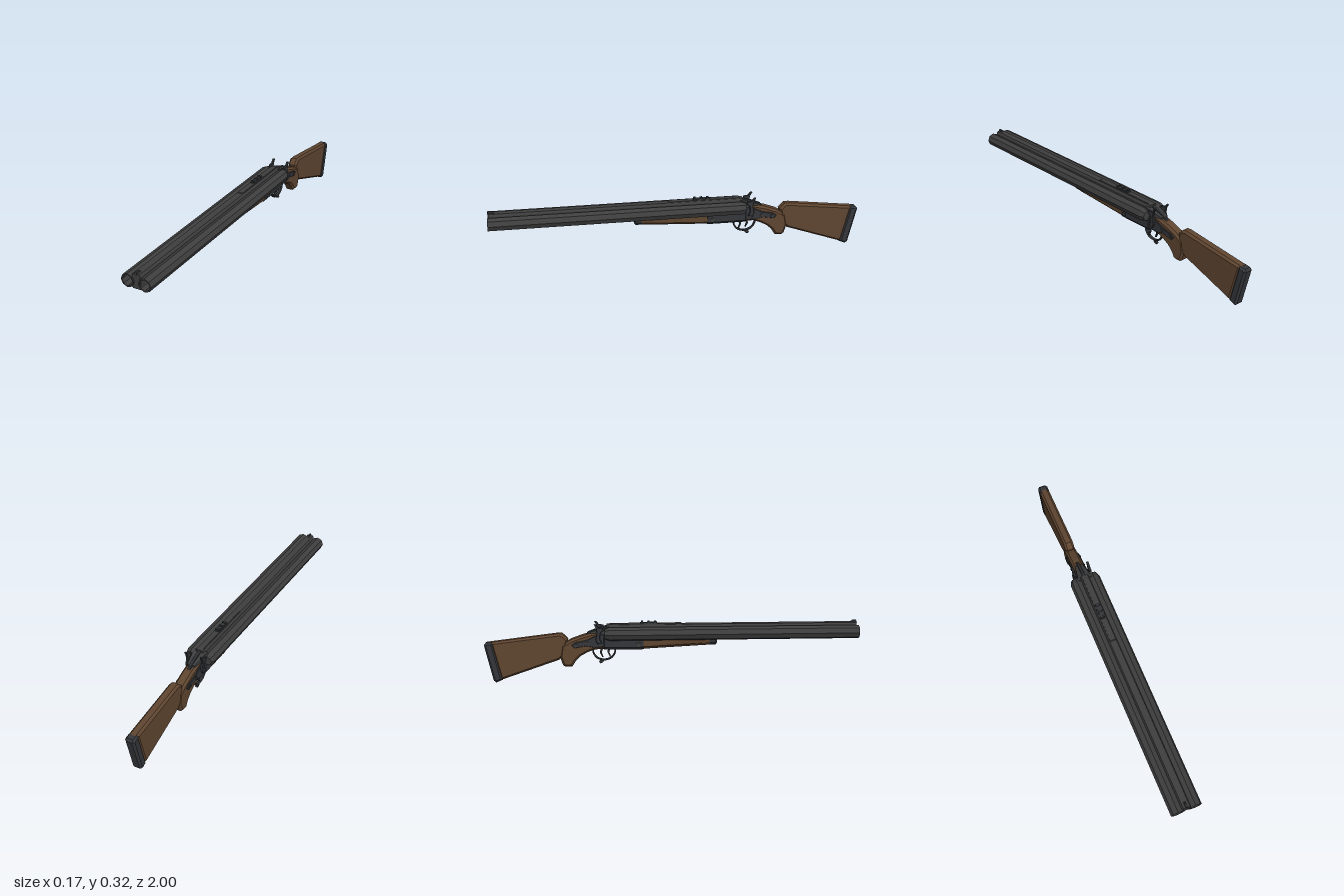
import * as THREE from 'three';

const steel = new THREE.MeshStandardMaterial({ color: 0x3e3e3e });
steel.name = 'gunmetal';
const darkSteel = new THREE.MeshStandardMaterial({ color: 0x34363a });
darkSteel.name = 'dark steel';
const wood = new THREE.MeshStandardMaterial({ color: 0x5f4530 });
wood.name = 'walnut wood';

// Gives every face its own normal for the faceted look
function facet(geometry) {
  const g = geometry.index ? geometry.toNonIndexed() : geometry;
  g.computeVertexNormals();
  return g;
}

function toShape(points) {
  const p = points.map(([a, b]) => new THREE.Vector2(a, b));
  if (THREE.ShapeUtils.isClockWise(p)) p.reverse();
  return new THREE.Shape(p);
}

function extrude(points, depth, bevel) {
  const g = new THREE.ExtrudeGeometry(toShape(points), {
    depth: depth - 2 * bevel, bevelEnabled: bevel > 0, bevelSegments: 1,
    bevelSize: bevel, bevelThickness: bevel, bevelOffset: -bevel, curveSegments: 6,
  });
  g.translate(0, 0, -depth / 2 + bevel);
  return g;
}

export function createModel() {
  const model = new THREE.Group();
  model.name = 'doubleBarrelShotgun';

  function add(name, geometry, material) {
    const mesh = new THREE.Mesh(facet(geometry), material);
    mesh.name = name;
    model.add(mesh);
    return mesh;
  }
  // Side outline in [z, y], given a width across x
  function side(name, points, width, bevel, material, x = 0) {
    const g = extrude(points, width, bevel);
    g.rotateY(-Math.PI / 2);
    g.translate(x, 0, 0);
    return add(name, g, material);
  }
  // Front outline in [x, y], running from z0 to z1
  function along(name, points, z0, z1, material, bevel = 0) {
    const g = extrude(points, z1 - z0, bevel);
    g.translate(0, 0, (z0 + z1) / 2);
    return add(name, g, material);
  }
  function box(name, w, h, d, x, y, z, material) {
    const g = new THREE.BoxGeometry(w, h, d);
    g.translate(x, y, z);
    return add(name, g, material);
  }

  // Octagonal barrels with hollow bores
  for (const s of [-1, 1]) {
    const profile = [[0, -0.36], [0.027, -0.36], [0.036, -0.335], [0.036, 1], [0.029, 1], [0.029, 0.7], [0, 0.7]]
      .map(([r, y]) => new THREE.Vector2(r, y));
    const g = new THREE.LatheGeometry(profile, 8);
    g.rotateX(Math.PI / 2);
    g.translate(s * 0.047, 0.264, 0);
    add(s > 0 ? 'leftBarrel' : 'rightBarrel', g, steel);
  }

  // Web and sighting rib between the barrels
  along('barrelWeb', [[-0.022, 0.23], [0.022, 0.23], [0.026, 0.262], [0.023, 0.298], [0.018, 0.308],
    [-0.018, 0.308], [-0.023, 0.298], [-0.026, 0.262]], -0.35, 0.995, steel);
  side('rearRib', [[0.06, 0.3], [0.05, 0.312], [-0.33, 0.312], [-0.35, 0.3]], 0.03, 0, steel);

  // Front bead and rear notch sights
  side('frontSight', [[1, 0.305], [0.995, 0.318], [0.975, 0.318], [0.96, 0.305]], 0.01, 0, darkSteel);
  box('rearSightBase', 0.024, 0.006, 0.09, 0, 0.314, -0.125, darkSteel);
  for (const z of [-0.09, -0.125, -0.16]) {
    for (const s of [-1, 1]) box('rearSightLeaf', 0.008, 0.01, 0.012, s * 0.0075, 0.318, z, darkSteel);
  }

  // Fore-end: wood with a metal tip, tapering toward the muzzle
  const foreSection = (w, low) => [[-w, 0.24], [-w, low + 0.014], [-w * 0.65, low], [w * 0.65, low], [w, low + 0.014], [w, 0.24]];
  const foreEnd = extrude(foreSection(0.041, 0.178), 0.36, 0);
  foreEnd.translate(0, 0, 0.02);
  const p = foreEnd.attributes.position;
  for (let i = 0; i < p.count; i++) {
    if (p.getZ(i) > 0 && p.getY(i) < 0.23) p.setXYZ(i, p.getX(i) * 0.9, p.getY(i) + 0.018, p.getZ(i));
  }
  add('foreEnd', foreEnd, wood);
  along('foreEndTip', foreSection(0.036, 0.197), 0.18, 0.24, darkSteel, 0.008);

  // Receiver and breech
  along('receiver', [[-0.042, 0.25], [-0.042, 0.19], [-0.03, 0.176], [0.03, 0.176], [0.042, 0.19], [0.042, 0.25]],
    -0.365, -0.15, darkSteel, 0.004);
  for (const s of [-1, 1]) {
    const pin = new THREE.CylinderGeometry(0.012, 0.012, 0.006, 8);
    pin.rotateZ(Math.PI / 2);
    pin.translate(s * 0.044, 0.205, -0.18);
    add('hingePin', pin, steel);
  }
  // Breech block narrows toward the wrist
  const breech = new THREE.BoxGeometry(0.076, 0.1, 0.1);
  const b = breech.attributes.position;
  for (let i = 0; i < b.count; i++) {
    const back = b.getZ(i) < 0;
    if (back) b.setX(i, b.getX(i) * 0.55);
    if (back && b.getY(i) > 0) b.setY(i, 0.022);
  }
  breech.translate(0, 0.25, -0.385);
  add('breechBlock', breech, steel);
  side('topLever', [[-0.34, 0.305], [-0.38, 0.297], [-0.45, 0.27], [-0.46, 0.255], [-0.36, 0.27]], 0.016, 0.002, darkSteel);

  // Wrist with pistol grip
  side('pistolGrip', [[-0.36, 0.27], [-0.41, 0.27], [-0.48, 0.252], [-0.54, 0.23], [-0.59, 0.2], [-0.6, 0.14],
    [-0.585, 0.092], [-0.573, 0.083], [-0.535, 0.083], [-0.515, 0.115], [-0.49, 0.14], [-0.45, 0.162], [-0.41, 0.176],
    [-0.36, 0.178]], 0.06, 0.011, wood);

  // Shoulder stock and butt plate
  side('stock', [[-0.555, 0.232], [-0.585, 0.262], [-0.61, 0.263], [-0.965, 0.22], [-0.915, 0.014], [-0.6, 0.122],
    [-0.575, 0.15]], 0.052, 0.011, wood);
  side('buttPlate', [[-0.955, 0.221], [-0.99, 0.216], [-1, 0.205], [-0.956, 0.01], [-0.943, 0], [-0.908, 0.014]],
    0.054, 0.01, darkSteel);

  // Lock plates, screws and hammers on both sides
  for (const s of [-1, 1]) {
    side('lockPlate', [[-0.35, 0.262], [-0.4, 0.256], [-0.46, 0.228], [-0.515, 0.218], [-0.535, 0.203], [-0.52, 0.187],
      [-0.46, 0.198], [-0.41, 0.188], [-0.35, 0.195]], 0.01, 0.002, darkSteel, s * 0.032);
    for (const [z, y] of [[-0.39, 0.225], [-0.45, 0.213], [-0.51, 0.203]]) {
      const screw = new THREE.CylinderGeometry(0.008, 0.008, 0.008, 8);
      screw.rotateZ(Math.PI / 2);
      screw.translate(s * 0.037, y, z);
      add('lockScrew', screw, steel);
    }
    side('hammer', [[-0.375, 0.215], [-0.4, 0.212], [-0.408, 0.235], [-0.4, 0.27], [-0.404, 0.295], [-0.416, 0.317],
      [-0.406, 0.318], [-0.392, 0.3], [-0.368, 0.297], [-0.366, 0.283], [-0.382, 0.27], [-0.385, 0.24]],
      0.013, 0.002, darkSteel, s * 0.044);
  }

  // Trigger guard, its lower spur and two triggers
  const guardPath = new THREE.CatmullRomCurve3([[-0.305, 0.18], [-0.308, 0.15], [-0.33, 0.124], [-0.365, 0.115],
    [-0.4, 0.125], [-0.42, 0.15], [-0.425, 0.178]].map(([z, y]) => new THREE.Vector3(0, y, z)));
  const guard = new THREE.TubeGeometry(guardPath, 18, 0.005, 6);
  guard.scale(2.2, 1, 1);
  add('triggerGuard', guard, darkSteel);
  side('guardSpur', [[-0.36, 0.118], [-0.372, 0.1], [-0.385, 0.094], [-0.392, 0.102], [-0.385, 0.12]], 0.014, 0.002, darkSteel);
  for (const [z, x] of [[-0.335, 0.005], [-0.375, -0.005]]) {
    side('trigger', [[z + 0.006, 0.18], [z - 0.002, 0.155], [z + 0.006, 0.132], [z, 0.13], [z - 0.012, 0.155], [z - 0.008, 0.18]],
      0.009, 0.001, darkSteel, x);
  }
  return model;
}
